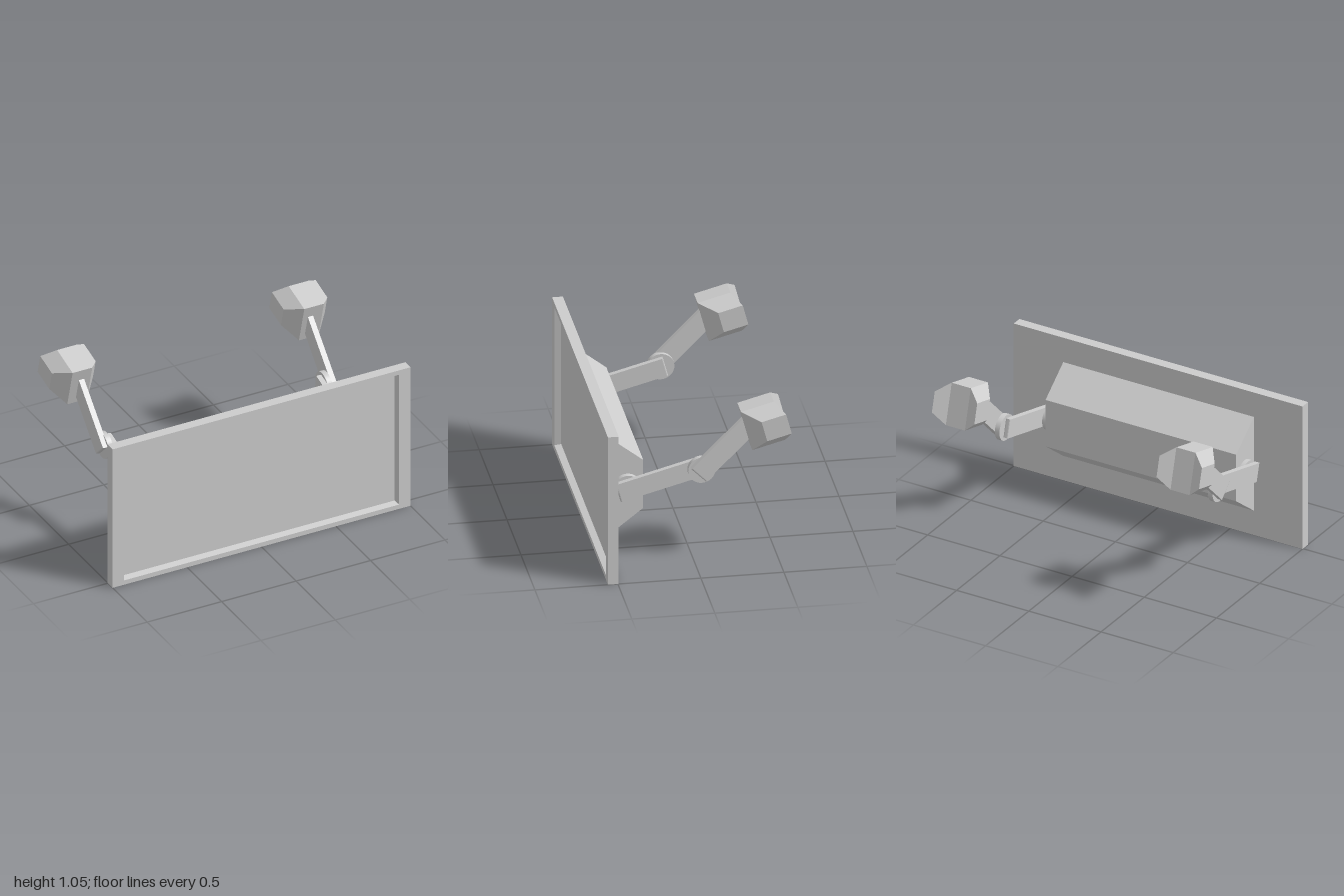
import * as THREE from 'three';

const material = new THREE.MeshStandardMaterial({ color: 0xcccccc });
const flat = new THREE.MeshStandardMaterial({ color: 0xcccccc, flatShading: true });
const TILT = Math.PI / 12;

function addMesh(parent, name, geometry, mat, x, y, z, rx = 0) {
  const mesh = new THREE.Mesh(geometry, mat);
  mesh.name = name;
  mesh.position.set(x, y, z);
  mesh.rotation.x = rx;
  parent.add(mesh);
  return mesh;
}

// Closed solid through rectangles [halfWidth, halfHeight, z], first cap facing +z
function loftRects(rings) {
  const pos = [], idx = [];
  for (const [w, h, z] of rings) pos.push(-w, -h, z, w, -h, z, w, h, z, -w, h, z);
  for (let r = 0; r < rings.length - 1; r++) {
    for (let k = 0; k < 4; k++) {
      const a = r * 4 + k, b = r * 4 + (k + 1) % 4;
      idx.push(a, a + 4, b + 4, a, b + 4, b);
    }
  }
  const e = (rings.length - 1) * 4;
  idx.push(0, 1, 2, 0, 2, 3, e, e + 2, e + 1, e, e + 3, e + 2);
  const g = new THREE.BufferGeometry();
  g.setAttribute('position', new THREE.Float32BufferAttribute(pos, 3));
  g.setIndex(idx);
  const out = g.toNonIndexed();
  out.computeVertexNormals();
  return out;
}

// Flat bar running from its origin along -z, with softened ends
function barGeometry(length, width, thickness) {
  const t = thickness / 2, r = 0.01;
  const s = new THREE.Shape();
  s.moveTo(-t + r, 0);
  s.lineTo(t - r, 0);
  s.quadraticCurveTo(t, 0, t, r);
  s.lineTo(t, length - r);
  s.quadraticCurveTo(t, length, t - r, length);
  s.lineTo(-t + r, length);
  s.quadraticCurveTo(-t, length, -t, length - r);
  s.lineTo(-t, r);
  s.quadraticCurveTo(-t, 0, -t + r, 0);
  const g = new THREE.ExtrudeGeometry(s, { depth: width, bevelEnabled: false, curveSegments: 5 });
  g.translate(0, 0, -width / 2);
  g.rotateX(-Math.PI / 2);
  return g;
}

function discGeometry(thickness) {
  return new THREE.CylinderGeometry(0.0825, 0.0825, thickness, 32).rotateZ(Math.PI / 2);
}

// Block whose side wings taper in height and sweep backwards; front face at z = 0
function mountGeometry() {
  const g = new THREE.BoxGeometry(3, 0.264, 0.205, 3, 1, 1);
  const p = g.attributes.position;
  for (let i = 0; i < p.count; i++) {
    const x = p.getX(i), outer = Math.abs(x) > 1;
    const front = p.getZ(i) > 0;
    p.setX(i, Math.sign(x) * (outer ? 0.147 : 0.066));
    if (outer) p.setY(i, Math.sign(p.getY(i)) * 0.066);
    p.setZ(i, outer ? (front ? -0.097 : -0.25) : (front ? 0 : -0.205));
  }
  g.computeVertexNormals();
  return g;
}

export function createModel() {
  const model = new THREE.Group();
  model.name = 'panelOnArms';

  // Panel with a recessed front
  addMesh(model, 'panel', loftRects([
    [0.914, 0.443, 0.52], [0.925, 0.4525, 0.56], [1, 0.4825, 0.56], [1, 0.4825, 0.495],
  ]), flat, 0, 0.4825, 0);

  // Tapered housing on the back
  addMesh(model, 'housing', loftRects([[0.66, 0.3175, 0.495], [0.66, 0.1575, 0.29]]),
    flat, -0.003, 0.4825, 0);

  // Arms: distance of each part from the centre plane
  const sides = [
    { name: 'left', s: 1, hub: 0.673, lower: 0.709, elbow: 0.741, upper: 0.775, mount: 0.789 },
    { name: 'right', s: -1, hub: 0.673, lower: 0.705, elbow: 0.735, upper: 0.763, mount: 0.767 },
  ];
  for (const { name, s, hub, lower, elbow, upper, mount } of sides) {
    const arm = new THREE.Group();
    arm.name = name + 'Arm';
    addMesh(arm, 'hubDisc', discGeometry(0.034), material, s * hub, 0.475, 0.388);
    addMesh(arm, 'lowerBar', barGeometry(0.541, 0.118, 0.034), material, s * lower, 0.462, 0.451, TILT);
    addMesh(arm, 'elbowDisc', discGeometry(0.032), material, s * elbow, 0.592, -0.047);
    addMesh(arm, 'upperBar', barGeometry(0.48, 0.123, 0.035), material, s * upper, 0.574, -0.0215, TILT * 3);
    addMesh(arm, 'mountBlock', mountGeometry(), flat, s * mount, 0.874, -0.3, TILT);
    model.add(arm);
  }
  return model;
}
